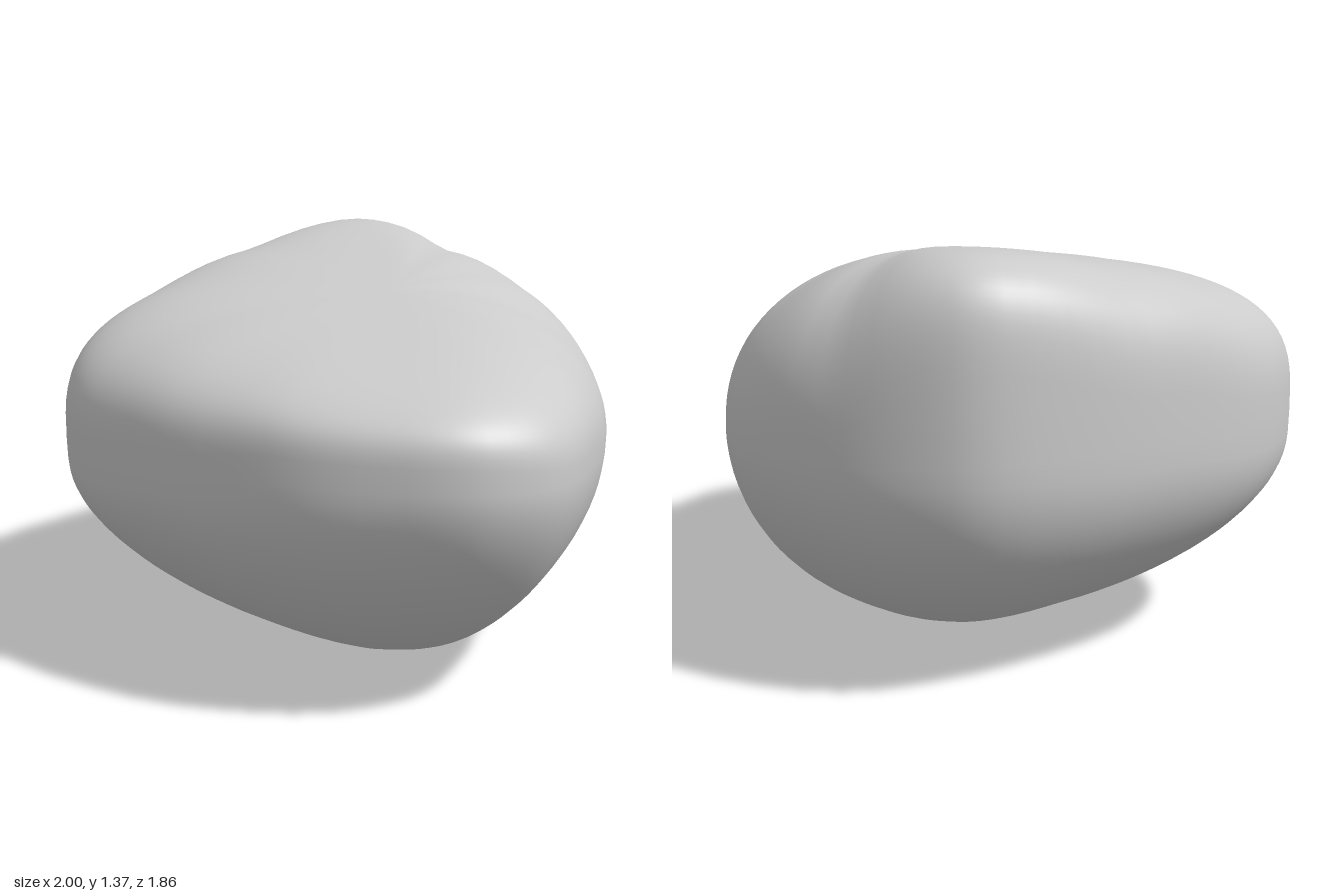
import * as THREE from 'three';
import { mergeVertices } from 'three/addons/utils/BufferGeometryUtils.js';

const SLICES = 72, RINGS = 24;
const AXIS_X = 0.05;

// Widest outline of the boulder, seen from above, as [x, z]
const OUTLINE = [
  [1, 0.2], [0.96, 0.38], [0.88, 0.5], [0.74, 0.62], [0.58, 0.73], [0.4, 0.81], [0.05, 0.9],
  [-0.33, 0.925], [-0.52, 0.9], [-0.67, 0.84], [-0.79, 0.74], [-0.88, 0.6], [-0.95, 0.42],
  [-0.99, 0.2], [-1, -0.07], [-0.97, -0.35], [-0.9, -0.59], [-0.77, -0.73], [-0.57, -0.85],
  [-0.32, -0.92], [-0.08, -0.93], [0.1, -0.88], [0.26, -0.8], [0.42, -0.68], [0.6, -0.49],
  [0.8, -0.24], [0.96, 0.03],
];

// Every 30 degrees from +x towards +z:
// [height of widest point, underside slope, underside squareness, top squareness]
const SIDES = [
  [0.8, 0.35, 2, 3], [0.82, 0.4, 2, 4.5], [0.82, 0.45, 2.4, 4.5],
  [0.76, 0.55, 3, 4], [0.72, 0.58, 3.4, 3.2], [0.76, 0.5, 3.4, 3.2],
  [0.8, 0.42, 3, 4], [0.8, 0.3, 2.5, 6], [0.76, 0.2, 2.2, 2.7],
  [0.72, 0.12, 2, 2.2], [0.74, 0.18, 2, 2], [0.78, 0.28, 2, 2.3],
];

// Smoothly blend the side settings around the boulder
function sideAt(angle) {
  const n = SIDES.length;
  const f = (angle / (2 * Math.PI) + 1) * n;
  const i = Math.floor(f);
  const t = THREE.MathUtils.smoothstep(f - i, 0, 1);
  return SIDES[i % n].map((v, k) => THREE.MathUtils.lerp(v, SIDES[(i + 1) % n][k], t));
}

// Tilted plane that the top flattens towards
const topPlane = (x, z) => 1.25 - 0.12 * x - 0.13 * z;

function boulderGeometry() {
  const outline = new THREE.CatmullRomCurve3(
    OUTLINE.map(([x, z]) => new THREE.Vector3(x, 0, z)), true);
  const positions = [], index = [];
  const rows = RINGS * 2;

  for (let i = 0; i <= rows; i++) {
    const t = (i / rows) * Math.PI;
    const sin = i === rows ? 0 : Math.sin(t);
    const cos = i === RINGS ? 0 : Math.abs(Math.cos(t));
    for (let j = 0; j < SLICES; j++) {
      const edge = outline.getPoint(j / SLICES);
      const [mid, slope, low, high] = sideAt(Math.atan2(edge.z, edge.x - AXIS_X));
      const power = 2 / (i < RINGS ? low : high);
      const s = Math.pow(sin, power), h = Math.pow(cos, power);
      const x = AXIS_X + (edge.x - AXIS_X) * s, z = edge.z * s;
      // underside: a blunt cone blended with a bowl; top: a rounded rim to the plane
      const y = i < RINGS
        ? mid * (slope * Math.pow(s, 1.6) + (1 - slope) * (1 - h))
        : mid + (topPlane(x, z) - mid) * h;
      positions.push(x, y, z);
    }
  }
  for (let i = 0; i < rows; i++) {
    for (let j = 0; j < SLICES; j++) {
      const a = i * SLICES + j, b = i * SLICES + (j + 1) % SLICES;
      const c = a + SLICES, d = b + SLICES;
      if (i > 0) index.push(a, d, b);
      if (i < rows - 1) index.push(a, c, d);
    }
  }
  const geometry = new THREE.BufferGeometry();
  geometry.setAttribute('position', new THREE.Float32BufferAttribute(positions, 3));
  geometry.setIndex(index);
  const welded = mergeVertices(geometry, 1e-5);
  welded.computeVertexNormals();
  return welded;
}

export function createModel() {
  const model = new THREE.Group();
  model.name = 'rock';
  const boulder = new THREE.Mesh(
    boulderGeometry(), new THREE.MeshStandardMaterial({ color: 0xcccccc }));
  boulder.name = 'boulder';
  model.add(boulder);
  return model;
}
